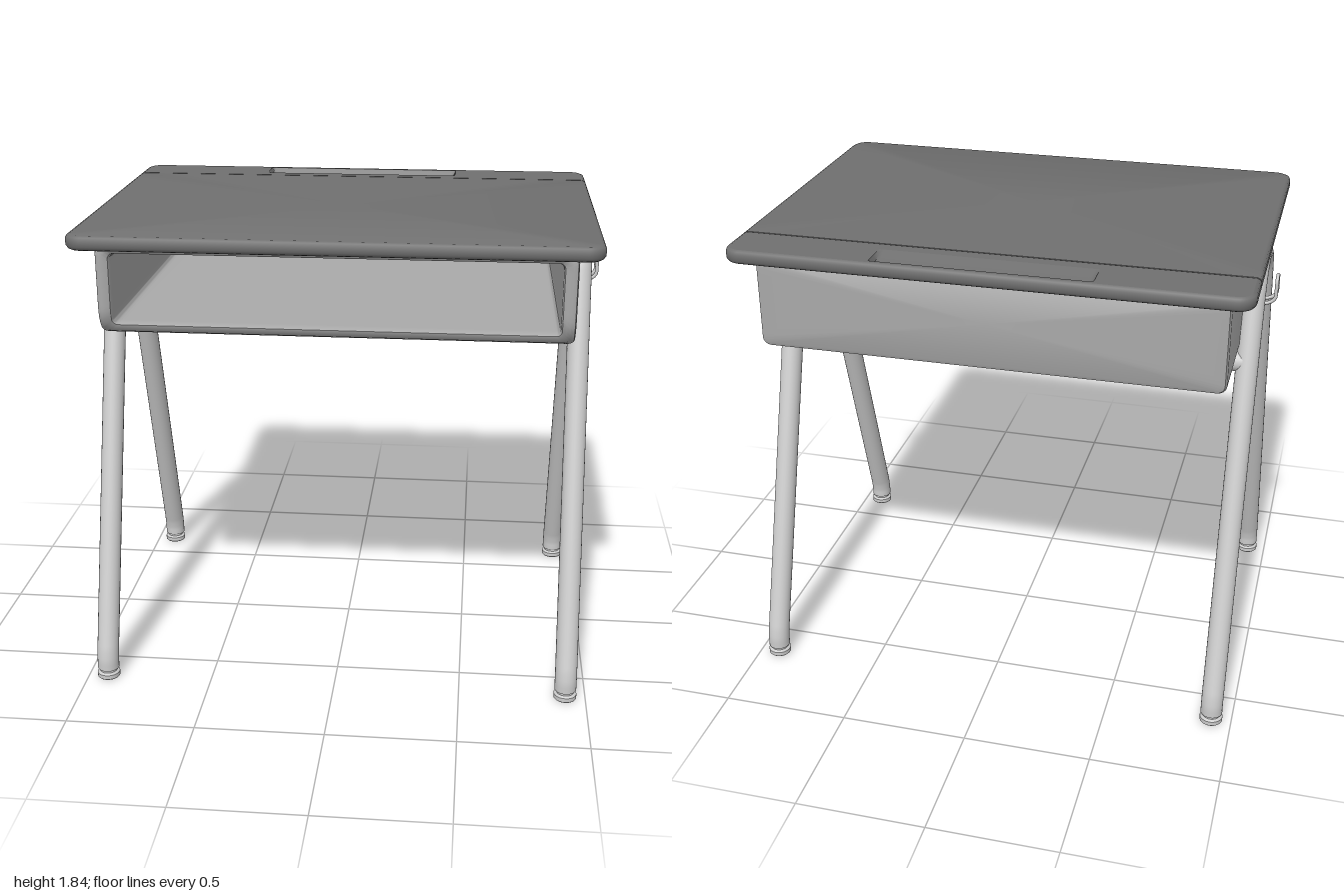
import * as THREE from 'three';
import { toCreasedNormals } from 'three/addons/utils/BufferGeometryUtils.js';

const V = (x, y, z) => new THREE.Vector3(x, y, z);
const steel = new THREE.MeshStandardMaterial({ color: 0xcccccc });
const binGrey = new THREE.MeshStandardMaterial({ color: 0xaaaaaa });
const topGrey = new THREE.MeshStandardMaterial({ color: 0x707070 });

function add(parent, name, geometry, material) {
  const mesh = new THREE.Mesh(geometry, material);
  mesh.name = name;
  parent.add(mesh);
  return mesh;
}

// Anticlockwise rounded rectangle, corner radii listed from (u1,v1) round
function roundRect(u0, u1, v0, v1, radii, steps = 8, sideSteps = 12) {
  const corners = [[u1, v1, -1, -1], [u0, v1, 1, -1], [u0, v0, 1, 1], [u1, v0, -1, 1]];
  const arcs = corners.map(([u, v, su, sv], k) => {
    const r = radii[k], pts = [];
    for (let i = 0; i <= steps; i++) {
      const a = (k + i / steps) * Math.PI / 2;
      pts.push(new THREE.Vector2(u + su * r + r * Math.cos(a), v + sv * r + r * Math.sin(a)));
    }
    return pts;
  });
  const out = [];
  arcs.forEach((pts, k) => {
    out.push(...pts);
    const from = pts[steps], to = arcs[(k + 1) % 4][0];
    for (let i = 1; i < sideSteps; i++) out.push(from.clone().lerp(to, i / sideSteps));
  });
  return out;
}

// Skin over matching rings, with fan caps at the ends
function loft(rings, capStart = true, capEnd = true) {
  const n = rings[0].length, pos = rings.flat().flatMap(p => [p.x, p.y, p.z]), idx = [];
  for (let k = 0; k < rings.length - 1; k++) {
    for (let i = 0; i < n; i++) {
      const a = k * n + i, b = k * n + (i + 1) % n;
      idx.push(a, b, b + n, a, b + n, a + n);
    }
  }
  const cap = (k, flip) => {
    const c = V(0, 0, 0);
    rings[k].forEach(p => c.addScaledVector(p, 1 / n));
    const ci = pos.length / 3;
    pos.push(c.x, c.y, c.z);
    for (let i = 0; i < n; i++) {
      const a = k * n + i, b = k * n + (i + 1) % n;
      if (flip) idx.push(ci, b, a); else idx.push(ci, a, b);
    }
  };
  if (capStart) cap(0, true);
  if (capEnd) cap(rings.length - 1, false);
  const g = new THREE.BufferGeometry();
  g.setAttribute('position', new THREE.Float32BufferAttribute(pos, 3));
  g.setIndex(idx);
  return toCreasedNormals(g, 0.7);
}

// Desk top: front panel and rear strip, split by a thin seam
const TOP = 1.835, SEAM = -0.515;
const EDGE = [[1.78, 0.018], [1.785, 0.008], [1.796, 0], [1.82, 0], [1.83, 0.005], [TOP, 0.016]];

function panelOutline(front, inset) {
  const r = 0.065 - inset, x = 0.97 - inset, s = 0.0005;
  return front
    ? roundRect(SEAM + 0.003, 0.72 - inset, -x, x, [r, s, s, r])
    : roundRect(-0.72 + inset, SEAM - 0.003, -x, x, [s, r, r, s]);
}

function buildTop(group) {
  for (const front of [true, false]) {
    const rings = EDGE.map(([y, inset]) => panelOutline(front, inset).map(p => V(p.y, y, p.x)));
    add(group, front ? 'topPanel' : 'topRearStrip', loft(rings, true, front), topGrey);
  }
  // Rear strip surface with the opening for the pencil tray
  const x = 0.41, z0 = -0.69, z1 = -0.57;
  const shape = new THREE.Shape(panelOutline(false, 0.016).map(p => new THREE.Vector2(p.y, -p.x)).reverse());
  shape.holes.push(new THREE.Path([[-x, -z0], [x, -z0], [x, -z1], [-x, -z1]].map(p => new THREE.Vector2(...p))));
  const surface = new THREE.ShapeGeometry(shape);
  surface.rotateX(-Math.PI / 2).translate(0, TOP, 0);
  add(group, 'topRearSurface', surface, topGrey);
  // Tray: steep at the back and the ends, sloping up to the front
  const tray = new THREE.PlaneGeometry(2 * x, z1 - z0, 82, 16);
  tray.rotateX(-Math.PI / 2).translate(0, TOP, (z0 + z1) / 2);
  const p = tray.attributes.position;
  for (let i = 0; i < p.count; i++) {
    const t = (p.getZ(i) - z0) / (z1 - z0);
    const end = Math.min(1, (x - Math.abs(p.getX(i))) / 0.012);
    p.setY(i, TOP - 0.026 * Math.max(0, end) * Math.min(1, t / 0.12) * Math.cos(t * Math.PI / 2));
  }
  add(group, 'pencilTray', toCreasedNormals(tray, 0.7), topGrey);
}

// Book bin: rings run forward outside, over the rim and back inside
function buildBin(group) {
  const stations = [
    [-0.625, 0.02], [-0.619, 0.006], [-0.605, 0], [0.35, 0], [0.59, 0], [0.607, 0.005], [0.615, 0.02],
    [0.613, 0.036], [0.605, 0.05], [0.59, 0.055], [0.55, 0.055], [0.35, 0.055], [-0.58, 0.055], [-0.595, 0.07],
  ];
  // The lower front edge is swept back in a quarter round
  const R = 0.12, yc = 1.54;
  const sweep = (y, z) => {
    if (z < 0.5 || y > yc) return z;
    const d = Math.min(R, yc - y);
    return z - R + Math.sqrt(R * R - d * d);
  };
  const rings = stations.map(([z, i]) =>
    roundRect(-0.885 + i, 0.885 - i, 1.42 + i, 1.779 - i * 0.6, Array(4).fill(0.032 - i * 0.2))
      .map(p => V(p.x, p.y, sweep(p.y, z))));
  add(group, 'bookBin', loft(rings), binGrey);
}

// One side: arched leg tube, two feet and a bag hook
function buildSide(s) {
  const side = new THREE.Group();
  side.name = s > 0 ? 'leftLegFrame' : 'rightLegFrame';
  const X = s * 0.92, R = 0.164, yc = 1.566, tilt = 0.315;
  const half = [[0.65, 0.04], [0.65, 0.07], [0.647, 0.088], [0.64, 0.12]];
  const arc = [];
  for (let i = 0; i <= 32; i++) {
    const a = tilt + (Math.PI - 2 * tilt) * i / 32;
    arc.push([R * Math.cos(a), yc + R * Math.sin(a)]);
  }
  const pts = [...half, ...arc, ...half.map(([z, y]) => [-z, y]).reverse()].map(([z, y]) => V(X, y, z));
  const path = new THREE.CurvePath();
  for (let i = 1; i < pts.length; i++) path.add(new THREE.LineCurve3(pts[i - 1], pts[i]));
  add(side, 'legTube', new THREE.TubeGeometry(path, 160, 0.043, 24), steel);

  const foot = [[0, 0], [0.041, 0], [0.045, 0.004], [0.045, 0.021], [0.041, 0.025], [0.034, 0.027],
    [0.034, 0.037], [0.041, 0.038], [0.043, 0.042], [0, 0.042]].map(p => new THREE.Vector2(...p));
  for (const z of [0.65, -0.65]) {
    add(side, 'foot', toCreasedNormals(new THREE.LatheGeometry(foot, 24), 0.7), steel).position.set(X, 0, z);
  }

  const prong = [[0.889, 1.68, 0.027], [0.889, 1.62, 0.027], [0.891, 1.565, 0.027], [0.912, 1.545, 0.027],
    [0.965, 1.545, 0.027], [0.99, 1.565, 0.027], [0.993, 1.6, 0.027], [0.993, 1.632, 0.025], [0.993, 1.647, 0.014]];
  const hook = [...prong, [0.993, 1.651, 0], ...prong.map(([x, y, z]) => [x, y, -z]).reverse()];
  const curve = new THREE.CatmullRomCurve3(hook.map(([x, y, z]) => V(s * x, y, z)));
  add(side, 'bagHook', new THREE.TubeGeometry(curve, 120, 0.007, 10), steel);
  return side;
}

export function createModel() {
  const desk = new THREE.Group();
  desk.name = 'schoolDesk';
  buildTop(desk);
  buildBin(desk);
  for (const s of [1, -1]) {
    desk.add(buildSide(s));
    // Crossbars carrying the bin
    const bar = new THREE.CylinderGeometry(0.04, 0.04, 1.84, 24, 1, true).rotateZ(Math.PI / 2);
    add(desk, s > 0 ? 'frontCrossbar' : 'rearCrossbar', bar, steel).position.set(0, 1.382, s * 0.232);
  }
  return desk;
}
